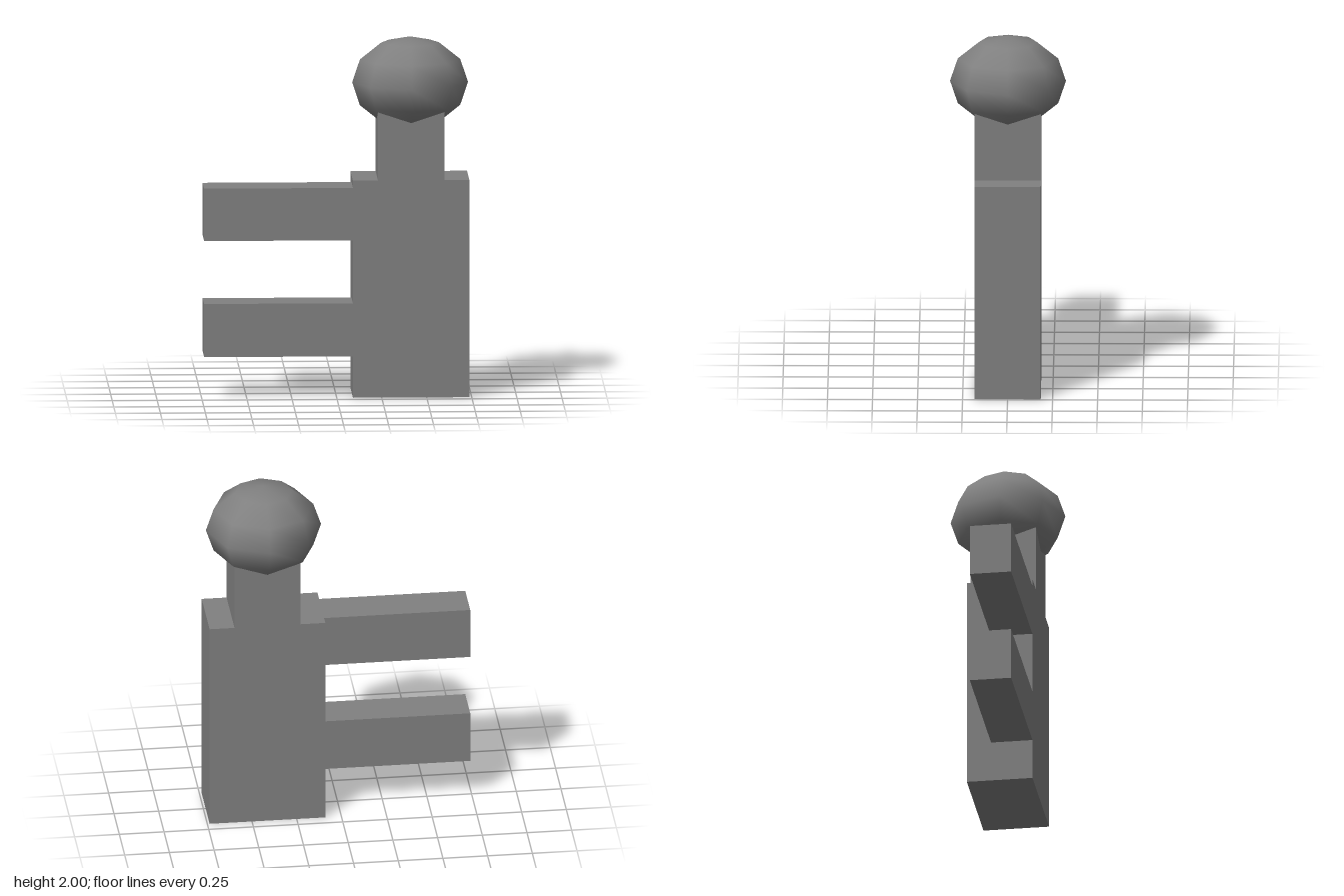
import * as THREE from 'three';

export function createModel() {
  const group = new THREE.Group();
  const grey = new THREE.MeshStandardMaterial({ color: 0x808080 });
  grey.name = 'grey';

  // Box given by its extents along each axis
  function addBox(name, [x0, x1], [y0, y1], [z0, z1]) {
    const mesh = new THREE.Mesh(new THREE.BoxGeometry(x1 - x0, y1 - y0, z1 - z0), grey);
    mesh.position.set((x0 + x1) / 2, (y0 + y1) / 2, (z0 + z1) / 2);
    mesh.name = name;
    group.add(mesh);
  }

  const depth = [-0.184, 0.184];
  addBox('body', [0.09, 0.737], [0, 1.218], depth);
  addBox('neck', [0.229, 0.598], [1.218, 1.7], depth);

  // Two side bars, flush with the front of the body
  addBox('lowerBar', [-0.737, 0.09], [0.232, 0.53], [-0.048, 0.184]);
  addBox('upperBar', [-0.737, 0.09], [0.883, 1.177], [-0.048, 0.184]);

  // Flattened eight-sided head
  const headGeometry = new THREE.SphereGeometry(1, 8, 6);
  headGeometry.scale(0.322, 0.257, 0.322);
  const head = new THREE.Mesh(headGeometry, grey);
  head.position.set(0.414, 1.743, 0);
  head.name = 'head';
  group.add(head);

  return group;
}
